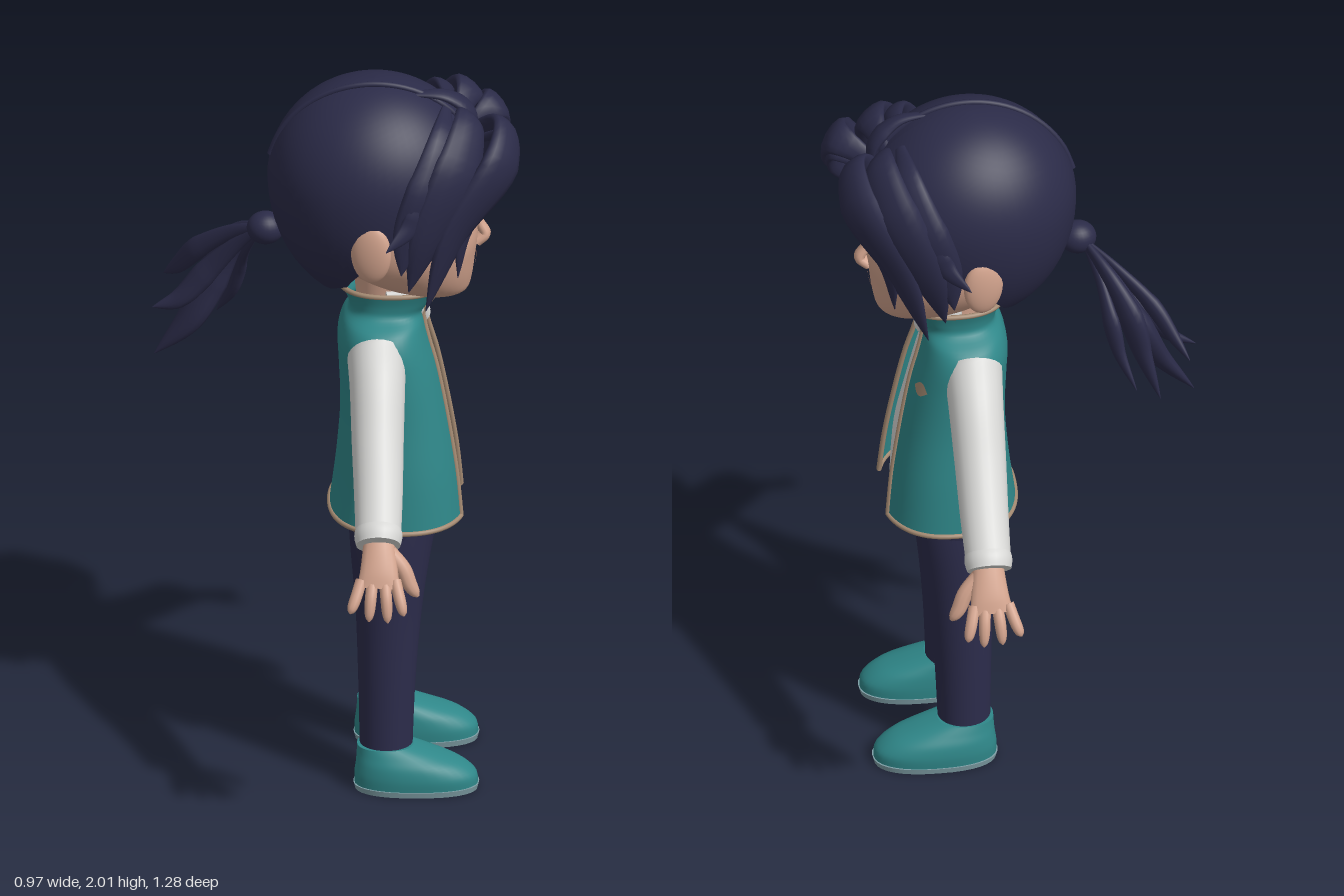
import * as THREE from 'three';

const V = (x, y, z) => new THREE.Vector3(x, y, z);
const mat = (name, color, double) => {
  const m = new THREE.MeshStandardMaterial({ color });
  m.name = name;
  if (double) m.side = THREE.DoubleSide;
  return m;
};
const spow = (v, p) => Math.sign(v) * Math.abs(v) ** p;

// Surface through rows of points; rows may close on themselves and be capped
function skin(rows, closed = true) {
  const pos = [], idx = [], n = rows[0].length;
  rows.forEach(r => r.forEach(p => pos.push(p.x, p.y, p.z)));
  for (let i = 0; i < rows.length - 1; i++)
    for (let j = 0; j < (closed ? n : n - 1); j++) {
      const k = (j + 1) % n, a = i * n + j, b = i * n + k;
      idx.push(a, b, b + n, a, b + n, a + n);
    }
  if (closed) for (const [row, top] of [[rows[0], false], [rows[rows.length - 1], true]]) {
    const base = pos.length / 3, c = V(0, 0, 0);
    row.forEach(p => { pos.push(p.x, p.y, p.z); c.addScaledVector(p, 1 / n); });
    pos.push(c.x, c.y, c.z);
    for (let j = 0; j < n; j++) {
      const a = base + j, b = base + (j + 1) % n;
      idx.push(...(top ? [a, b, base + n] : [b, a, base + n]));
    }
  }
  const g = new THREE.BufferGeometry();
  g.setAttribute('position', new THREE.Float32BufferAttribute(pos, 3));
  g.setIndex(idx);
  g.computeVertexNormals();
  return g;
}

// Cross-sections are [y, centreZ, radiusX, radiusZ, centreX]; smooth resampling
function smooth(rings, steps = 5) {
  const out = [];
  for (let i = 0; i < rings.length - 1; i++)
    for (let s = 0; s < steps; s++) {
      const t = s / steps;
      out.push(rings[i].map((b, k) => {
        const c = rings[i + 1][k], a = i ? rings[i - 1][k] : b, d = (rings[i + 2] || rings[i + 1])[k];
        return b + 0.5 * t * (c - a + t * (2 * a - 5 * b + 4 * c - d + t * (3 * (b - c) + d - a)));
      }));
    }
  out.push(rings[rings.length - 1]);
  return out;
}
const ringPoint = ([y, zc, rx, rz, xc = 0], a, n) =>
  V(xc + rx * spow(Math.sin(a), 2 / n), y, zc + rz * spow(Math.cos(a), 2 / n));
const loft = (rings, n = 2, seg = 36) => skin(smooth(rings).map(r =>
  Array.from({ length: seg }, (_, j) => ringPoint(r, j / seg * Math.PI * 2, n))));

// Flattened tube along a path; width lies across the outward direction
function sweep(points, out, w, h, steps = 24, seg = 12) {
  const curve = new THREE.CatmullRomCurve3(points), rows = [];
  for (let i = 0; i <= steps; i++) {
    const t = i / steps, p = curve.getPoint(t), T = curve.getTangent(t);
    const S = out(p).cross(T).normalize(), N = T.clone().cross(S);
    rows.push(Array.from({ length: seg }, (_, j) => {
      const a = j / seg * Math.PI * 2;
      return p.clone().addScaledVector(S, w(t) * Math.cos(a)).addScaledVector(N, h(t) * Math.sin(a));
    }));
  }
  return skin(rows);
}

// Thin painted patch lying on the front of a lofted body
function patch(rings, n, x0, x1, bottom, top, lift) {
  const depth = (x, y) => {
    const i = Math.max(1, rings.findIndex(r => r[0] >= y)), a = rings[i - 1], b = rings[i];
    const t = (y - a[0]) / (b[0] - a[0]), m = k => a[k] + t * (b[k] - a[k]);
    return m(1) + m(3) * Math.max(0, 1 - Math.abs(x / m(2)) ** n) ** (1 / n) + lift;
  };
  const rows = [];
  for (let i = 0; i <= 4; i++)
    rows.push(Array.from({ length: 15 }, (_, j) => {
      const u = j / 14, x = x0 + (x1 - x0) * u, y = bottom(u) + (top(u) - bottom(u)) * i / 4;
      return V(x, y, depth(x, y));
    }));
  return skin(rows, false);
}

export function createModel() {
  const model = new THREE.Group(), body = new THREE.Group();
  model.name = 'character';
  body.name = 'body';
  body.rotation.y = Math.PI / 2;
  model.add(body);
  const M = {
    hair: mat('dark hair', 0x2b2b48, true), pants: mat('navy cloth', 0x2c2c4b),
    teal: mat('teal cloth', 0x2f8789, true), shirt: mat('off-white cloth', 0xd6d6d4),
    skin: mat('skin', 0xd2a38d), trim: mat('tan trim', 0xa48a72), sole: mat('sole', 0x7f9fa6),
    iris: mat('grey green eye', 0x6a8a84, true), dark: mat('lash and brow', 0x1e2036, true),
    lip: mat('lip', 0xae7a6a, true),
  };
  const add = (name, geo, m) => {
    const mesh = new THREE.Mesh(geo, m);
    mesh.name = name;
    body.add(mesh);
    return mesh;
  };
  const ball = (name, m, p, s) => {
    const b = add(name, new THREE.SphereGeometry(1, 24, 16), m);
    b.position.set(...p);
    b.scale.set(...s);
    return b;
  };
  const up = () => V(0, 1, 0), fwd = () => V(0, 0, 1);

  // Head, neck and face
  const headRings = [[1.385, .29, .04, .04], [1.4, .268, .095, .09], [1.44, .222, .15, .147],
    [1.5, .18, .195, .197], [1.56, .153, .217, .23], [1.64, .13, .222, .243], [1.72, .128, .222, .244],
    [1.8, .12, .21, .23], [1.88, .11, .16, .18], [1.93, .11, .06, .07]];
  const face = smooth(headRings);
  add('head', loft(headRings, 2.2, 48), M.skin);
  add('neck', loft([[1.28, .14, .085, .085], [1.37, .145, .08, .085], [1.45, .15, .085, .1]]), M.skin);
  add('nose', sweep([V(0, 1.62, .368), V(0, 1.575, .388), V(0, 1.545, .402), V(0, 1.525, .38)], fwd,
    t => .01 + .017 * t, t => .012 + .005 * t), M.skin);
  const arc = u => Math.sin(Math.PI * u);
  add('mouth', patch(face, 2.2, -.045, .045, u => 1.478 - .003 * arc(u), u => 1.481 + .004 * arc(u), .004), M.lip);
  for (const s of [-1, 1]) {
    // Patches run from low x to high x, so flip the parameter on the mirrored side
    const f = u => (s > 0 ? u : 1 - u);
    const part = (name, a, b, lo, hi, lift, m) => add(name, patch(face, 2.2, s > 0 ? a : -b, s > 0 ? b : -a,
      u => lo(f(u)), u => hi(f(u)), lift), m);
    part('eye', .06, .158, u => 1.615 - .022 * arc(u), u => 1.615 + .026 * arc(u), .003, M.iris);
    part('pupil', .097, .123, u => 1.615 - .014 * arc(u), u => 1.615 + .02 * arc(u), .005, M.dark);
    part('eyelash', .055, .168, u => 1.614 + .022 * arc(u), u => 1.62 + .03 * arc(u) + .006 * u, .006, M.dark);
    part('eyebrow', .035, .168, u => 1.655 + .02 * arc(u), u => 1.668 + .028 * arc(u) - .008 * u, .007, M.dark);
    ball('ear', M.skin, [s * .238, 1.595, .1], [.026, .085, .055]).rotation.y = s * .25;
  }

  // Hair cap with a hairline that drops from the forehead to the nape
  const line = [1.85, 1.82, 1.74, 1.67, 1.56, 1.46, 1.43, 1.42, 1.42];
  const cap = [];
  for (let i = 0; i <= 24; i++) {
    cap.push(Array.from({ length: 65 }, (_, j) => {
      const a = j / 64 * Math.PI * 2, q = (1 - Math.abs(1 - j / 32)) * 8, k = Math.min(7, Math.floor(q));
      const d = line[k] + (line[k + 1] - line[k]) * (q - k) - 1.72;
      const end = Math.acos(d / (d > 0 ? .278 : .355)), phi = end * (1 - i / 24) + .001;
      const c = Math.cos(phi), r = Math.sin(phi);
      return V(.255 * r * Math.sin(a), 1.72 + c * (c > 0 ? .278 : .355), .11 + .285 * r * Math.cos(a));
    }));
  }
  add('hairCap', skin(cap, false), M.hair);
  const ridge = [];
  for (let i = 0; i <= 10; i++) {
    const a = -1.35 + i * .245;
    ridge.push(V(-.04 * Math.cos(a), 1.72 + .278 * Math.cos(a), .11 + .285 * Math.sin(a)));
  }
  add('hairParting', sweep(ridge, () => V(1, 0, 0), () => .008, () => .008, 30, 8), M.hair);

  // Curtain locks sweep from the parting down both sides of the face
  const fromHead = p => p.clone().sub(V(0, 1.68, .12));
  const taper = w => t => w * (.25 + 1.5 * t) * (t < .5 ? 1 : 0) + (t >= .5 ? w * (1 - ((t - .5) * 2) ** 2) + .001 : 0);
  const locks = [
    [.07, [0, 1.84, .35], [.06, 1.89, .425], [.15, 1.82, .42], [.21, 1.64, .32], [.225, 1.42, .245]],
    [.075, [0, 1.87, .33], [.1, 1.92, .36], [.2, 1.82, .33], [.242, 1.65, .25], [.235, 1.48, .2]],
    [.04, [.01, 1.82, .365], [.055, 1.855, .435], [.125, 1.78, .425], [.185, 1.64, .35], [.185, 1.5, .33]],
    [.06, [.05, 1.93, .3], [.16, 1.9, .29], [.235, 1.78, .25], [.25, 1.65, .2], [.262, 1.54, .18]],
    [.03, [.2, 1.84, .25], [.255, 1.75, .23], [.27, 1.68, .2], [.31, 1.63, .14]],
  ];
  for (const s of [-1, 1]) for (const [w, ...pts] of locks)
    add('hairLock', sweep(pts.map(([x, y, z]) => V(s * x, y, z + (s < 0 && z > .4 ? .025 : 0))),
      fromHead, taper(w), taper(w * .42)), M.hair);
  add('hairTuft', sweep([V(-.04, 1.97, .2), V(-.03, 1.96, .3), V(-.01, 1.9, .365), V(.01, 1.82, .37)],
    fromHead, taper(.035), taper(.016)), M.hair);

  // Ponytail
  ball('hairTie', M.hair, [0, 1.56, -.18], [.045, .045, .05]);
  for (const [w, ...pts] of [
    [.055, [.1, 1.48, -.26], [.13, 1.36, -.32], [.12, 1.24, -.38], [.13, 1.13, -.475]],
    [.045, [.1, 1.5, -.25], [.16, 1.41, -.3], [.18, 1.3, -.33], [.22, 1.17, -.375]],
    [.032, [.08, 1.51, -.27], [.15, 1.43, -.36], [.2, 1.36, -.41], [.25, 1.31, -.45]],
    [.035, [.06, 1.48, -.26], [.1, 1.38, -.34], [.11, 1.3, -.41], [.12, 1.27, -.48]],
    [.03, [.08, 1.47, -.23], [.15, 1.39, -.25], [.18, 1.3, -.27], [.23, 1.21, -.31]],
  ]) add('ponytailStrand', sweep([V(.005, 1.56, -.19), ...pts.map(p => V(...p))],
    () => V(-.6, .3, -.7), taper(w), taper(w * .6)), M.hair);

  // Shirt under the open vest
  add('shirt', loft([[.79, .17, .19, .15], [.95, .165, .185, .145], [1.1, .155, .175, .122],
    [1.25, .133, .165, .105], [1.32, .138, .12, .092], [1.35, .145, .09, .088]], 2.3), M.shirt);
  for (const s of [-1, 1])
    add('shirtCollar', sweep([V(s * .085, 1.38, .14), V(s * .065, 1.38, .215), V(s * .01, 1.31, .245)],
      up, () => .012, t => .032 - .012 * t), M.shirt);

  // Vest shell, open at the front, with trimmed edges
  const vestRings = smooth([[.765, .17, .222, .18], [.9, .17, .212, .163], [1.05, .162, .197, .144],
    [1.18, .146, .193, .132], [1.26, .133, .19, .122], [1.31, .133, .165, .11], [1.34, .142, .115, .1],
    [1.37, .15, .11, .113], [1.41, .155, .12, .136]]);
  const vest = vestRings.map(r => {
    const gap = .1 - .055 * Math.min(1, (r[0] - .765) / .55);
    const e = Math.asin((gap / r[2]) ** 1.2);
    return Array.from({ length: 49 }, (_, j) => ringPoint(r, e + (Math.PI * 2 - 2 * e) * j / 48, 2.4));
  });
  add('vest', skin(vest, false), M.teal);
  const edge = (name, pts, ref) => add(name, sweep(pts, ref, () => .007, () => .007, 60, 8), M.trim);
  edge('vestEdgeLeft', vest.map(r => r[0]), () => V(1, 0, 0));
  edge('vestEdgeRight', vest.map(r => r[48]), () => V(1, 0, 0));
  edge('vestHem', vest[0], up);
  edge('collarEdge', vest[vest.length - 1], up);
  add('chestPatch', patch(vestRings, 2.4, .105, .155, u => 1.19 - .02 * arc(u), u => 1.19 + .02 * arc(u), .005), M.trim);

  // Trousers
  add('hips', loft([[.65, .15, .1, .08], [.7, .152, .185, .11], [.76, .158, .2, .125], [.84, .162, .19, .13]], 2.3), M.pants);

  for (const s of [-1, 1]) {
    add('trouserLeg', loft([[.11, .14, .066, .07, s * .137], [.3, .142, .074, .076, s * .128],
      [.5, .147, .085, .088, s * .116], [.66, .152, .098, .106, s * .104], [.78, .16, .095, .122, s * .1]]), M.pants);
    // Ankle and shoe
    add('ankle', loft([[.06, .14, .055, .06, s * .14], [.135, .14, .055, .06, s * .138]]), M.skin);
    add('sole', loft([[0, .22, .082, .163, s * .157], [.016, .22, .085, .167, s * .157]], 2.4), M.sole);
    add('shoe', loft([[.016, .22, .082, .164, s * .157], [.045, .217, .083, .161, s * .157],
      [.075, .2, .079, .14, s * .155], [.1, .17, .07, .108, s * .15], [.122, .138, .062, .075, s * .145]], 2.3), M.teal);

    // Sleeve and cuff
    const P = (x, y, z) => V(s * x, y, z);
    add('sleeve', sweep([P(.13, 1.24, .115), P(.21, 1.19, .117), P(.32, 1.08, .118), P(.43, .975, .12), P(.525, .89, .12)],
      fwd, t => .09 - .037 * t, t => .078 - .018 * t, 24, 24), M.shirt);
    add('cuff', sweep([P(.497, .915, .12), P(.515, .898, .12), P(.535, .88, .12)],
      fwd, t => .054 + .005 * arc(t), t => .059 + .005 * arc(t), 8, 24), M.shirt);

    // Hand with spread fingers
    const flat = () => V(s * .8, .55, 0);
    add('palm', sweep([P(.51, .905, .12), P(.545, .86, .122), P(.575, .815, .122), P(.592, .78, .12)], flat,
      t => .038 + .02 * t, t => .028 - .011 * t, 12, 16), M.skin);
    [[.075, .045, .725], [.105, .095, .702], [.137, .145, .698], [.165, .188, .718]].forEach(([z0, z1, y]) =>
      add('finger', sweep([P(.583, .8, z0), P(.612, .76, (z0 + z1) / 2), P(.632, y, z1)], flat,
        t => .0155 * Math.sqrt(1.02 - t ** 6), t => .0145 * Math.sqrt(1.02 - t ** 6), 14, 10), M.skin));
    add('thumb', sweep([P(.535, .865, .145), P(.55, .82, .185), P(.56, .775, .205), P(.565, .745, .225)], flat,
      t => .021 * Math.sqrt(1.05 - t ** 4), t => .018 * Math.sqrt(1.05 - t ** 4), 14, 10), M.skin);
  }
  return model;
}
